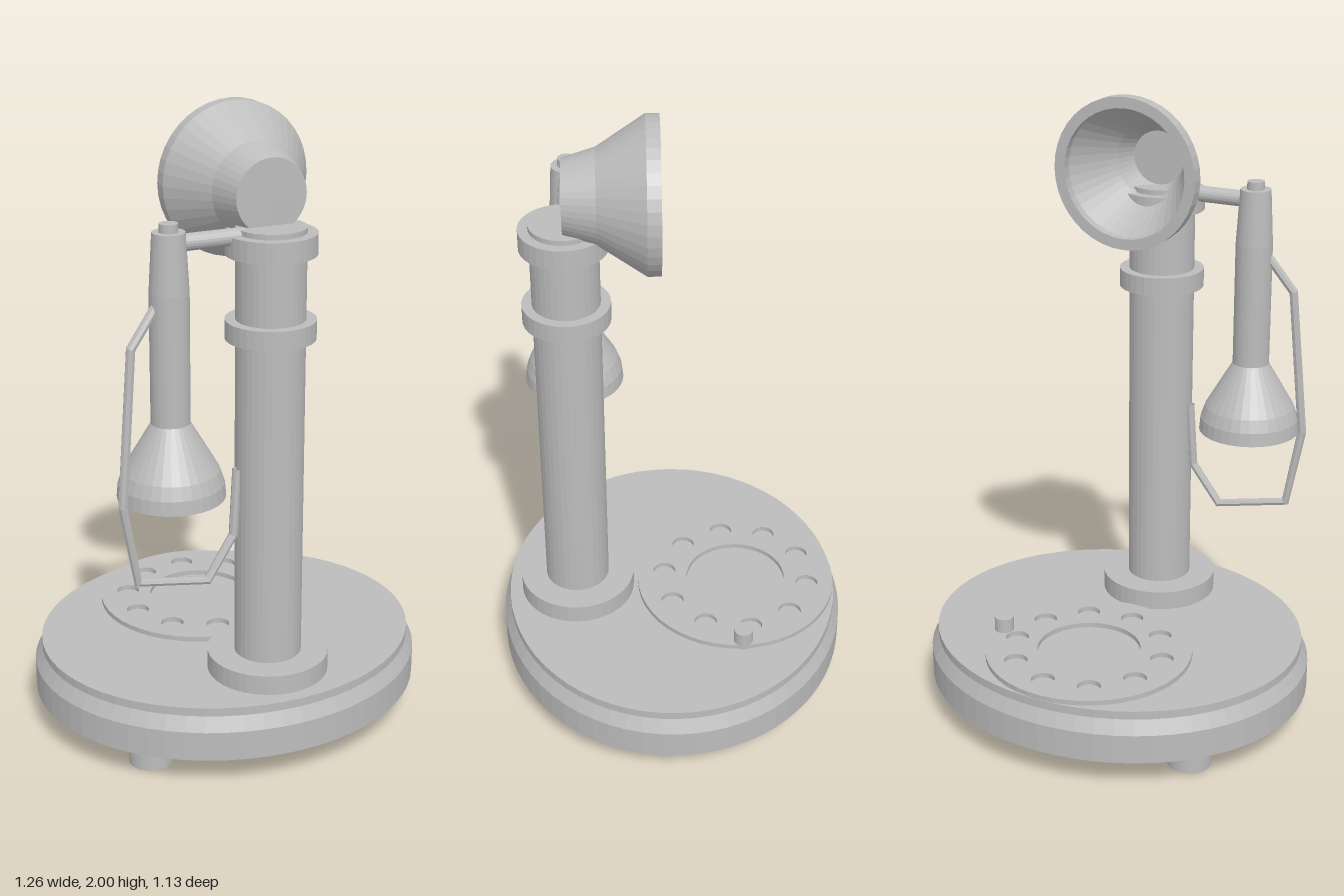
import * as THREE from 'three';

const grey = new THREE.MeshStandardMaterial({ color: 0xbcbcbc, flatShading: true, side: THREE.DoubleSide });
grey.name = 'plain grey';

const COLUMN_Z = 0.317;

export function createModel() {
  const model = new THREE.Group();
  model.name = 'candlestickTelephone';

  const add = (name, geometry, x = 0, y = 0, z = 0) => {
    const mesh = new THREE.Mesh(geometry, grey);
    mesh.name = name;
    mesh.position.set(x, y, z);
    model.add(mesh);
    return mesh;
  };
  const lathe = (profile, sides) =>
    new THREE.LatheGeometry(profile.map(([r, y]) => new THREE.Vector2(r, y)), sides);
  // upright cylinder between two heights
  const post = (name, r, y0, y1, x, z, sides = 32) =>
    add(name, new THREE.CylinderGeometry(r, r, y1 - y0, sides), x, (y0 + y1) / 2, z);

  // oval base with bevelled edges
  const base = lathe([[0, 0.07], [0.555, 0.07], [0.63, 0.1], [0.63, 0.195],
    [0.607, 0.24], [0.607, 0.267], [0, 0.267]], 64);
  base.scale(1, 1, 0.9);
  add('base', base);

  // four feet
  for (const sx of [-1, 1]) for (const sz of [-1, 1])
    post('foot', 0.069, 0, 0.08, sx * 0.38, sz * 0.273);

  // rotary dial plate with ten finger holes and an open centre
  const plate = new THREE.Shape().absarc(0, 0, 0.33, 0, Math.PI * 2);
  const hole = (x, y, r) => plate.holes.push(new THREE.Path().absarc(x, y, r, 0, Math.PI * 2, true));
  hole(0, 0, 0.165);
  for (let i = 0; i < 10; i++) {
    const a = (9 + 36 * i) * Math.PI / 180;
    hole(0.242 * Math.cos(a), 0.242 * Math.sin(a), 0.037);
  }
  const dial = new THREE.ExtrudeGeometry(plate, { depth: 0.016, bevelEnabled: false, curveSegments: 24 });
  dial.rotateX(-Math.PI / 2);
  add('dial', dial, 0, 0.267, -0.215);
  post('fingerStop', 0.031, 0.267, 0.33, 0.304, -0.224, 24);

  // column and its collars
  post('column', 0.104, 0.267, 1.68, 0, COLUMN_Z);
  post('columnFoot', 0.188, 0.267, 0.33, 0, COLUMN_Z, 40);
  post('middleCollar', 0.135, 1.346, 1.405, 0, COLUMN_Z);
  post('topCollar', 0.135, 1.6, 1.664, 0, COLUMN_Z);

  // hollow mouthpiece, opening towards the dial side
  const horn = lathe([[0, 0], [0.111, 0], [0.142, 0.1], [0.234, 0.243], [0.234, 0.284],
    [0.2, 0.284], [0.2, 0.255], [0.112, 0.1], [0.085, 0.03], [0, 0.03]], 40);
  horn.rotateX(-Math.PI / 2);
  add('mouthpiece', horn, 0, 1.766, COLUMN_Z);

  // arm holding the receiver
  const arm = new THREE.CylinderGeometry(0.025, 0.025, 0.22, 20);
  arm.rotateZ(Math.PI / 2);
  add('receiverArm', arm, -0.2, 1.66, 0.313);

  // receiver with a hollow bell
  add('receiver', lathe([[0, 1.1], [0.04, 1.1], [0.125, 0.98], [0.142, 0.902], [0.161, 0.902],
    [0.157, 0.945], [0.143, 0.985], [0.058, 1.13], [0.058, 1.52], [0.048, 1.695],
    [0.027, 1.695], [0.027, 1.72], [0, 1.72]], 32), -0.317, 0, 0.313);

  // angular cord from the receiver to the column, mitred at each bend
  const points = [[-0.35, 1.5, 0.317], [-0.445, 1.375, 0.335], [-0.485, 0.905, 0.352],
    [-0.44, 0.655, 0.345], [-0.21, 0.61, 0.33], [-0.12, 0.74, 0.32], [-0.107, 0.95, 0.317]]
    .map(p => new THREE.Vector3(...p));
  const last = points.length - 1;
  const direction = i => points[i + 1].clone().sub(points[i]).normalize();
  const path = new THREE.Curve();
  path.getPointAt = u => points[Math.round(u * last)].clone();
  path.getTangentAt = u => {
    const i = Math.round(u * last);
    return direction(Math.max(i - 1, 0)).add(direction(Math.min(i, last - 1))).normalize();
  };
  add('cord', new THREE.TubeGeometry(path, last, 0.0145, 8));

  return model;
}
